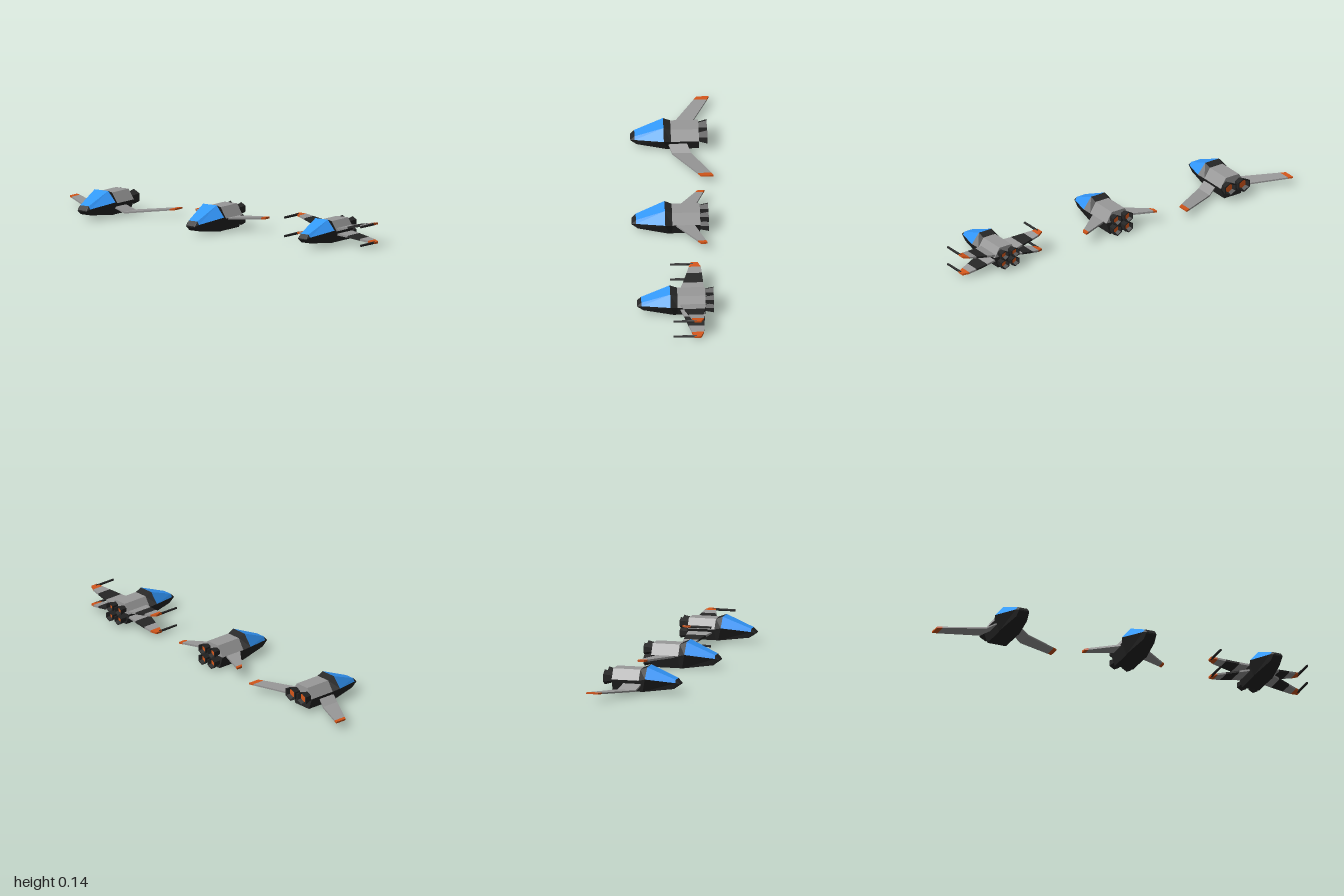
import * as THREE from 'three';

const mat = (color) => new THREE.MeshStandardMaterial({ color, flatShading: true });
const GREY = mat(0x999999), DARK = mat(0x262626), BLUE = mat(0x3399ff), ORANGE = mat(0xd4561a);

// Faceted solid through matching convex rings of [x, y, z] points, capped at both ends
function loft(name, material, rings) {
  const tris = [], n = rings[0].length;
  for (let r = 0; r + 1 < rings.length; r++) {
    for (let i = 0; i < n; i++) {
      const j = (i + 1) % n, [a, b] = [rings[r], rings[r + 1]];
      tris.push([a[i], a[j], b[j]], [a[i], b[j], b[i]]);
    }
  }
  const first = rings[0], last = rings[rings.length - 1];
  for (let i = 1; i + 1 < n; i++) {
    tris.push([first[0], first[i + 1], first[i]], [last[0], last[i], last[i + 1]]);
  }
  // Turn the faces outward whichever way the rings run
  let volume = 0;
  const [a, b, c] = [0, 1, 2].map(() => new THREE.Vector3());
  for (const t of tris) {
    volume += a.fromArray(t[0]).dot(b.fromArray(t[1]).cross(c.fromArray(t[2])));
  }
  if (volume < 0) tris.forEach((t) => t.reverse());
  const geo = new THREE.BufferGeometry();
  geo.setAttribute('position', new THREE.Float32BufferAttribute(tris.flat(2), 3));
  geo.computeVertexNormals();
  const mesh = new THREE.Mesh(geo, material);
  mesh.name = name;
  return mesh;
}

// Trapezoid across the hull: half widths and [height, z] of its upper and lower edge
const ring = (wTop, [yTop, zTop], wLow, [yLow, zLow]) =>
  [[-wTop, yTop, zTop], [wTop, yTop, zTop], [wLow, yLow, zLow], [-wLow, yLow, zLow]];

// Flared six-sided nozzle with a glowing recess
function engine(x, y, r) {
  const g = new THREE.Group();
  g.name = 'engine';
  const profile = [[0, 0], [0.68, 0], [1, 0.044], [0.82, 0.044], [0.6, 0.022]]
    .map(([k, h]) => new THREE.Vector2(k * r, h));
  const nozzle = new THREE.Mesh(new THREE.LatheGeometry(profile, 6), DARK.clone());
  nozzle.material.side = THREE.DoubleSide;
  nozzle.name = 'nozzle';
  const glow = new THREE.Mesh(new THREE.CylinderGeometry(0.62 * r, 0.62 * r, 0.004, 6), ORANGE);
  glow.position.y = 0.022;
  glow.name = 'engineGlow';
  g.add(nozzle, glow);
  g.rotation.x = -Math.PI / 2;
  g.position.set(x, y, -0.134);
  return g;
}

function hull(engines) {
  const g = new THREE.Group();
  g.name = 'hull';
  g.add(
    loft('canopy', BLUE, [
      ring(0.043, [0.137, 0.047], 0.09, [0.078, 0.047]),
      ring(0.027, [0.072, 0.195], 0.038, [0.055, 0.195]),
    ]),
    loft('lowerNose', DARK, [
      ring(0.09, [0.078, 0.047], 0.055, [0, 0.026]),
      ring(0.038, [0.055, 0.195], 0.03, [0.02, 0.185]),
    ]),
    loft('noseTip', DARK, [
      [[-0.027, 0.072, 0.195], [0.027, 0.072, 0.195], [0.038, 0.055, 0.195],
        [0.03, 0.02, 0.185], [-0.03, 0.02, 0.185], [-0.038, 0.055, 0.195]],
      [[-0.024, 0.05, 0.216], [0.024, 0.05, 0.216], [0.028, 0.046, 0.217],
        [0.026, 0.042, 0.215], [-0.026, 0.042, 0.215], [-0.028, 0.046, 0.217]],
    ]),
    loft('collar', DARK, [
      ring(0.043, [0.137, 0.047], 0.09, [0.078, 0.047]),
      ring(0.04, [0.122, 0.01], 0.075, [0.066, 0.01]),
    ]),
    loft('upperBody', GREY, [0.01, -0.134].map((z) => ring(0.04, [0.122, z], 0.075, [0.066, z]))),
    loft('belly', DARK, [
      ring(0.09, [0.078, 0.047], 0.055, [0, 0.026]),
      ring(0.075, [0.066, 0.01], 0.052, [0, 0.01]),
      ring(0.075, [0.066, -0.134], 0.052, [0, -0.134]),
    ]),
  );
  for (const [y, r, x] of engines) for (const s of [-1, 1]) g.add(engine(s * x, y, r));
  return g;
}

// Pair of wings; stations are [x, y, leading z, trailing z], one material per panel
function wings(ship, stations, materials, t) {
  for (const s of [-1, 1]) {
    const g = new THREE.Group();
    g.name = s > 0 ? 'leftWing' : 'rightWing';
    const rings = stations.map(([x, y, lead, trail]) =>
      [[s * x, y + t, lead], [s * x, y + t, trail], [s * x, y - t, trail], [s * x, y - t, lead]]);
    materials.forEach((m, i) =>
      g.add(loft(m === ORANGE ? 'wingTip' : 'wingPanel', m, [rings[i], rings[i + 1]])));
    ship.add(g);
  }
}

function makeShip(name, x, hullGroup) {
  const g = new THREE.Group();
  g.name = name;
  g.position.x = x;
  g.add(hullGroup);
  return g;
}

export function createModel() {
  const model = new THREE.Group();
  model.name = 'shipSet';
  const quad = [[0.09, 0.031, 0.035], [0.033, 0.031, 0.035]];

  // Wide ship with cranked wings and two large engines
  const gullHull = hull([[0.072, 0.042, 0.042]]);
  gullHull.scale.y = 0.93;
  gullHull.position.set(0, 0.008, -0.02);
  const gull = makeShip('gullWingShip', -0.665, gullHull);
  wings(gull, [
    [0.06, 0.052, 0.005, -0.09], [0.115, 0.023, -0.015, -0.112],
    [0.31, 0.041, -0.14, -0.209], [0.335, 0.043, -0.156, -0.22],
  ], [GREY, GREY, ORANGE], 0.004);

  // Compact ship with flat wings and four engines
  const flat = makeShip('flatWingShip', 0.04, hull(quad));
  wings(flat, [
    [0.06, 0.062, 0, -0.1], [0.205, 0.062, -0.118, -0.159], [0.222, 0.062, -0.132, -0.166],
  ], [GREY, ORANGE], 0.005);

  // Ship with four splayed wings, each carrying a forward gun
  const crossHull = hull(quad);
  crossHull.scale.set(0.92, 0.9, 1);
  crossHull.position.y = 0.013;
  const cross = makeShip('crossWingShip', 0.75, crossHull);
  for (const side of [-1, 1]) {
    const at = (x) => 0.068 + side * (0.012 + 0.19 * (x - 0.05));
    wings(cross, [
      [0.05, at(0.05), 0, -0.13], [0.112, at(0.112), -0.024, -0.128],
      [0.176, at(0.176), -0.045, -0.124], [0.218, at(0.218), -0.058, -0.12],
      [0.249, at(0.249), -0.069, -0.105],
    ], [GREY, DARK, GREY, ORANGE], 0.005);
    for (const s of [-1, 1]) {
      const gun = new THREE.Mesh(new THREE.CylinderGeometry(0.006, 0.007, 0.12, 6), DARK);
      gun.rotation.x = Math.PI / 2;
      gun.position.set(s * 0.242, at(0.242), -0.022);
      gun.name = 'wingGun';
      cross.add(gun);
    }
  }

  model.add(gull, flat, cross);
  return model;
}
